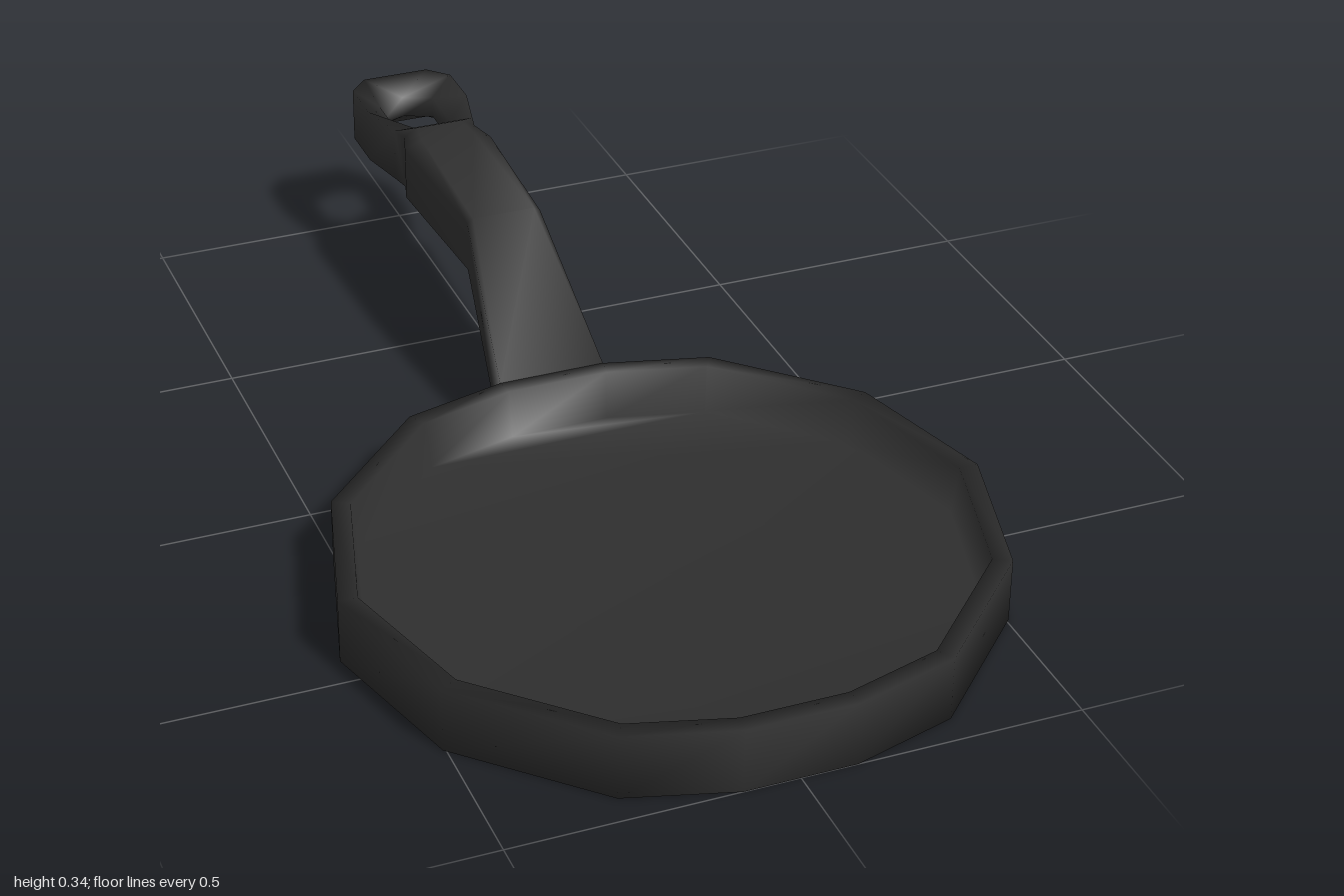
import * as THREE from 'three';
import { mergeVertices } from 'three/addons/utils/BufferGeometryUtils.js';

// Quads between two matching closed loops; one segment may be left open
function band(out, a, b, skip = -1) {
  a.forEach((p, i) => {
    if (i === skip) return;
    const j = (i + 1) % a.length;
    out.push(...p, ...a[j], ...b[j], ...p, ...b[j], ...b[i]);
  });
}

// Fill a left-right symmetric loop with strips across x
function cap(out, loop, up) {
  const n = loop.length;
  for (let i = 0; i < n / 2 - 1; i++) {
    const [a, b, c, d] = [loop[i], loop[i + 1], loop[n - 2 - i], loop[n - 1 - i]];
    if (up) out.push(...a, ...b, ...c, ...a, ...c, ...d);
    else out.push(...a, ...c, ...b, ...a, ...d, ...c);
  }
}

// Mirror a half outline of [x, z] points into a full loop
const mirror = (half) => [...half, ...half.map(([x, z]) => [-x, z]).reverse()];
const atHeight = (outline, y) => outline.map(([x, z]) => [x, y, z]);

// Weld shared corners so that the shading is smooth
function smoothMesh(name, positions, material) {
  let g = new THREE.BufferGeometry();
  g.setAttribute('position', new THREE.Float32BufferAttribute(positions, 3));
  g = mergeVertices(g, 1e-4);
  g.computeVertexNormals();
  const mesh = new THREE.Mesh(g, material);
  mesh.name = name;
  return mesh;
}

export function createModel() {
  const group = new THREE.Group();
  group.name = 'fryingPan';
  const iron = new THREE.MeshStandardMaterial({ color: 0x2e2e2e });
  iron.name = 'cast iron';

  // Pan: faceted dish with a flat rim, open at the back where the handle joins
  const outline = mirror([
    [0.1, 1], [0.29, 0.945], [0.505, 0.73], [0.585, 0.44],
    [0.505, 0.15], [0.29, -0.065], [0.1, -0.115],
  ]);
  const inset = (s) => outline.map(([x, z]) => [x * s, 0.44 + (z - 0.44) * s]);
  const base = atHeight(outline, 0);
  const rim = atHeight(outline, 0.12);
  const lip = atHeight(inset(0.94), 0.12);
  const floor = atHeight(inset(0.92), 0.03);
  const pan = [];
  band(pan, base, rim, 6);
  band(pan, rim, lip);
  band(pan, lip, floor);
  cap(pan, floor, true);
  cap(pan, base, false);
  group.add(smoothMesh('pan', pan, iron));

  // Handle: sections of z, bottom, top, half width, chamfer x, chamfer y
  const sections = [
    [-0.115, 0, 0.12, 0.1, 0, 0],
    [-0.365, 0.212, 0.325, 0.072, 0.012, 0.008],
    [-0.68, 0.202, 0.334, 0.087, 0.035, 0.016],
    [-0.73, 0.198, 0.337, 0.072, 0.027, 0.016],
    [-0.765, 0.215, 0.32, 0.08, 0, 0],
  ].map(([z, y0, y1, w, c, d]) => [
    [c - w, y1, z], [w - c, y1, z], [w, y1 - d, z], [w, y0 + d, z],
    [w - c, y0, z], [c - w, y0, z], [-w, y0 + d, z], [-w, y1 - d, z],
  ]);
  const handle = [];
  for (let i = 1; i < sections.length; i++) band(handle, sections[i - 1], sections[i]);

  // Hanging loop, thinning towards a six-sided hole
  const outer = mirror([[0.08, -0.765], [0.102, -0.86], [0.102, -0.96], [0.065, -1]]);
  const hole = mirror([[0, -0.79], [0.055, -0.825], [0.055, -0.935], [0, -0.958]]);
  const loops = [
    atHeight(outer, 0.215), atHeight(outer, 0.32),
    atHeight(hole, 0.288), atHeight(hole, 0.247),
  ];
  loops.forEach((l, i) => band(handle, l, loops[(i + 1) % 4], i === 0 ? 7 : -1));
  group.add(smoothMesh('handle', handle, iron));

  return group;
}
